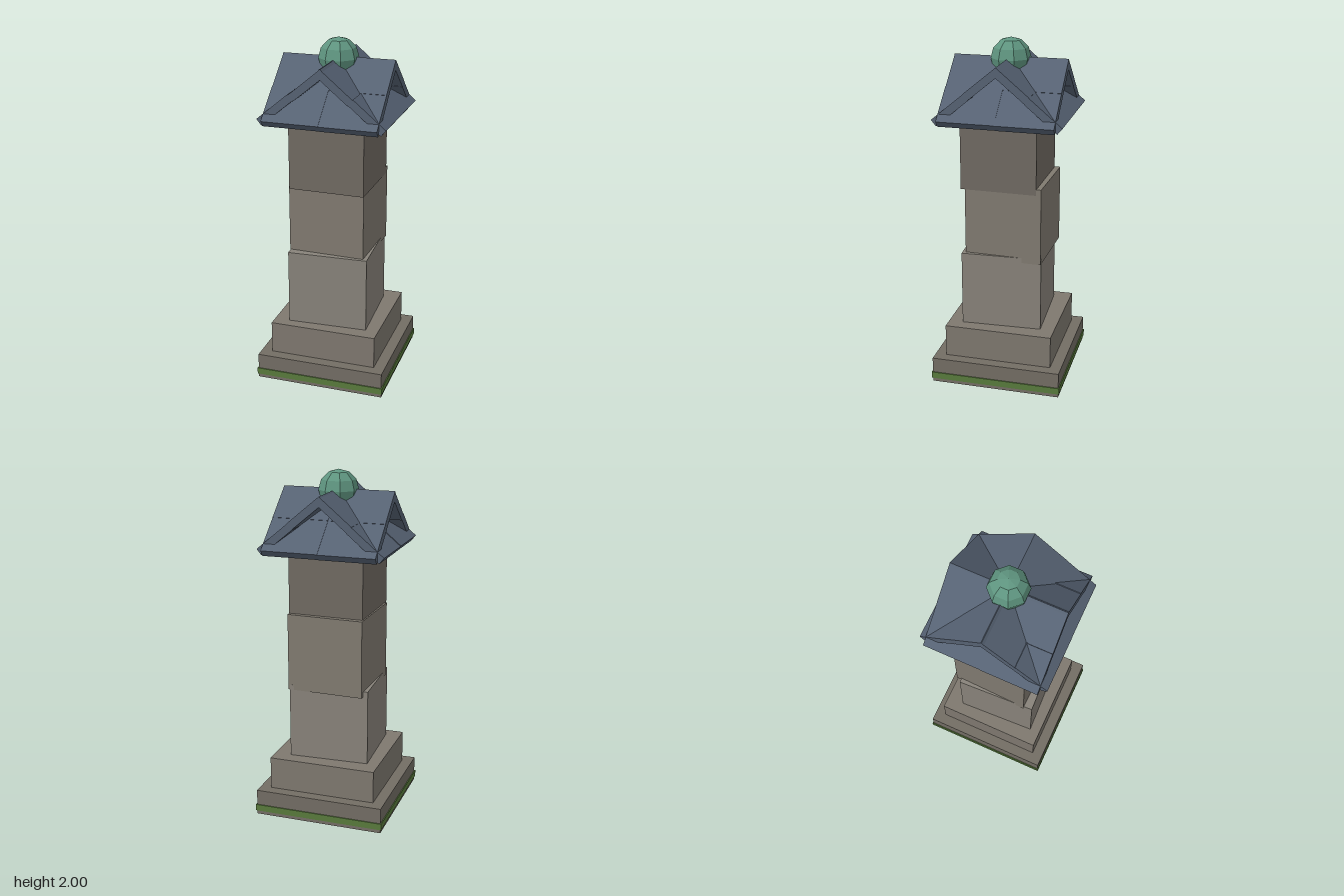
import * as THREE from 'three';

const mat = (color) => new THREE.MeshStandardMaterial({ color, flatShading: true });

export function createModel() {
  const model = new THREE.Group();

  const block = (name, color, half, y0, y1, x = 0, z = 0, yaw = 0) => {
    const mesh = new THREE.Mesh(new THREE.BoxGeometry(half * 2, y1 - y0, half * 2), mat(color));
    mesh.name = name;
    mesh.position.set(x, (y0 + y1) / 2, z);
    mesh.rotation.y = yaw;
    model.add(mesh);
  };

  // Stepped base with a mossy band
  block('basePlinth', 0x736d64, 0.379, 0, 0.15);
  block('mossBand', 0x587a3c, 0.385, 0.022, 0.06);
  block('baseStep', 0x7e786f, 0.315, 0.15, 0.34);

  // Shaft of three slightly twisted stones
  block('lowerStone', 0x88837a, 0.233, 0.34, 0.78, -0.003, 0.01, 0.045);
  block('middleStone', 0x807a70, 0.223, 0.75, 1.2, -0.002, -0.015, -0.03);
  block('upperStone', 0x706a62, 0.22, 1.165, 1.62, 0.004, 0.0125, -0.02);

  // Crossed gable roof: four slopes, each of two rows of two slate panels
  const roof = new THREE.Group();
  roof.name = 'crossedGableRoof';
  const run = 0.367, drop = 0.305, thick = 0.044, halfLength = 0.327;
  const slopeLength = Math.hypot(run, drop);
  const slate = mat(0x566273);
  for (let side = 0; side < 4; side++) {
    const turn = new THREE.Group();
    turn.name = 'roofSide';
    turn.rotation.y = side * Math.PI / 2;
    const slope = new THREE.Group();
    slope.name = 'roofSlope';
    slope.position.y = 1.893;
    slope.rotation.z = -Math.atan2(drop, run);
    for (let row = 0; row < 2; row++) {
      for (let col = 0; col < 2; col++) {
        const panel = new THREE.Mesh(
          new THREE.BoxGeometry(slopeLength / 2, thick, halfLength), slate);
        panel.name = 'slatePanel';
        // small offsets make the laid panels uneven
        const lift = ((side + row + col * 2) % 3) * 0.002;
        panel.position.set(
          slopeLength * (row / 2 + 0.25),
          -thick / 2 - lift,
          (col - 0.5) * halfLength);
        slope.add(panel);
      }
    }
    turn.add(slope);
    roof.add(turn);
  }
  model.add(roof);

  // Faceted ball finial
  const ball = new THREE.Mesh(new THREE.SphereGeometry(0.114, 8, 6), mat(0x5f9580));
  ball.name = 'ballFinial';
  ball.position.y = 1.886;
  ball.rotation.y = Math.PI / 8;
  model.add(ball);

  return model;
}
